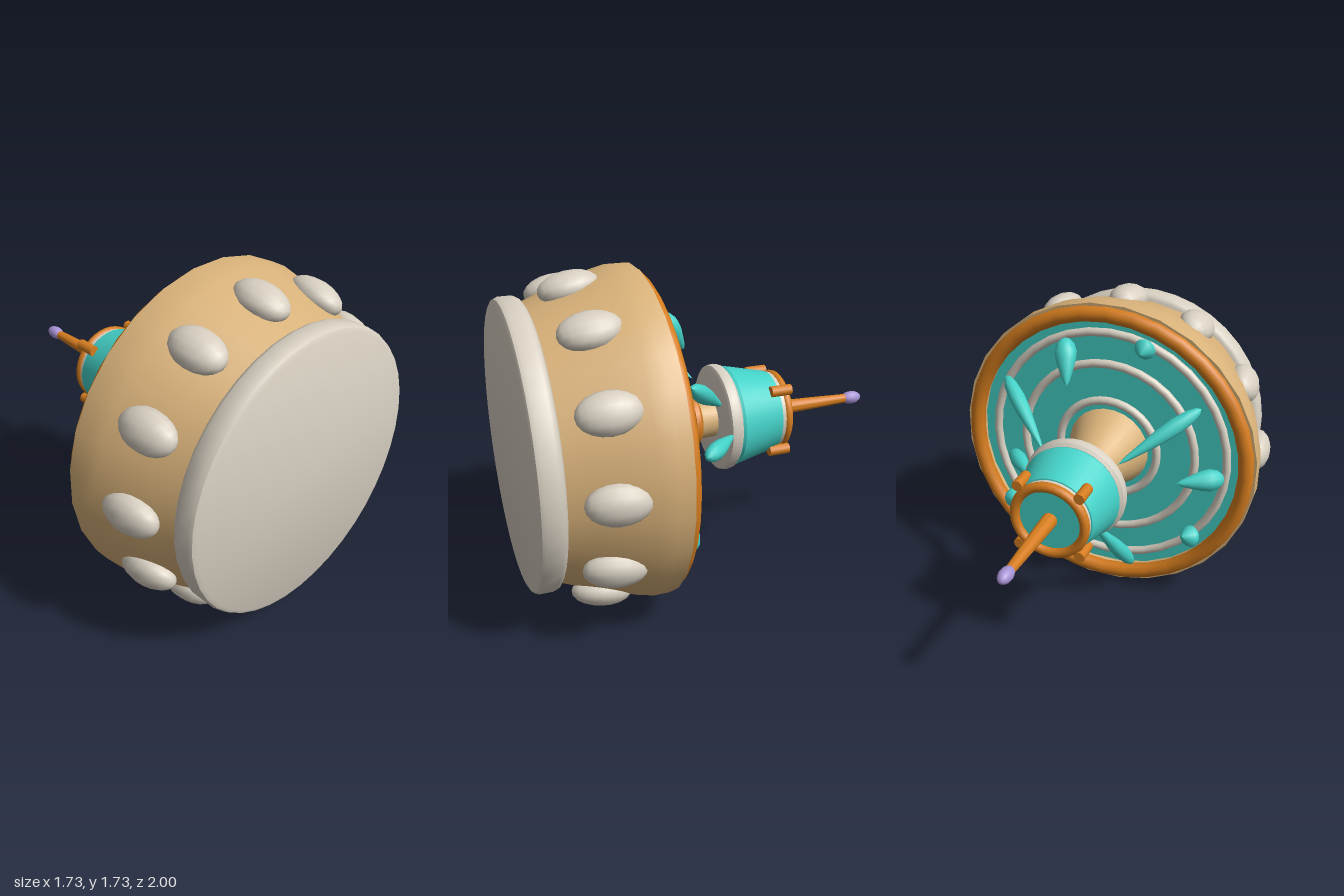
import * as THREE from 'three';
import { toCreasedNormals } from 'three/addons/utils/BufferGeometryUtils.js';

const mat = (name, color) => {
  const m = new THREE.MeshStandardMaterial({ color });
  m.name = name;
  return m;
};

export function createModel() {
  const sand = mat('sandstone', 0xd9b27a);
  const stone = mat('pale stone', 0xd8d0c2);
  const copper = mat('copper', 0xd67d1e);
  const water = mat('water', 0x44d2c8);
  const violet = mat('violet', 0xa894d6);

  const model = new THREE.Group();
  model.name = 'fountain';
  // The fountain is built upright along y, then tipped so its top points to -z.
  const body = new THREE.Group();
  body.name = 'fountainBody';
  body.rotation.x = -Math.PI / 2;
  body.position.y = 0.87;
  model.add(body);

  const add = (name, geo, material, parent = body) => {
    const m = new THREE.Mesh(geo, material);
    m.name = name;
    parent.add(m);
    return m;
  };
  // Turned part from [radius, height] pairs listed bottom to top
  const turned = (name, pts, material, sides = 28) => {
    const geo = new THREE.LatheGeometry(pts.map(p => new THREE.Vector2(...p)), sides);
    geo.rotateY(Math.PI / sides);
    return add(name, toCreasedNormals(geo, 0.6), material);
  };
  const ring = (name, radius, tube, h, material) => {
    const geo = new THREE.TorusGeometry(radius, tube, 10, 36);
    geo.rotateX(Math.PI / 2);
    geo.translate(0, h, 0);
    return add(name, geo, material);
  };

  // Foot plate and basin
  turned('footPlate', [[0, -1], [0.715, -1], [0.735, -0.99], [0.745, -0.97], [0.745, -0.9],
    [0.735, -0.88], [0.715, -0.868], [0, -0.868]], stone, 40);
  turned('basin', [[0, -0.87], [0.705, -0.87], [0.755, -0.74], [0.805, -0.6], [0.845, -0.48],
    [0.863, -0.4], [0.863, -0.32], [0.78, -0.32], [0.77, -0.4]], sand);
  ring('basinRim', 0.805, 0.043, -0.32, copper);
  add('drainSpout', new THREE.BoxGeometry(0.12, 0.05, 0.05), copper).position.set(0, -0.81, -0.735);

  // Water surface with ripples
  const pool = new THREE.CircleGeometry(0.785, 40);
  pool.rotateX(-Math.PI / 2);
  add('poolWater', pool, water).position.y = -0.37;
  [0.29, 0.51, 0.69].forEach(r => ring('ripple', r, 0.024, -0.362, stone));

  // Cabochons around the basin
  for (let i = 0; i < 12; i++) {
    const arm = new THREE.Group();
    arm.name = 'cabochonMount';
    arm.rotation.y = (i * Math.PI) / 6;
    body.add(arm);
    const gem = add('cabochon', new THREE.SphereGeometry(1, 14, 10), stone, arm);
    gem.scale.set(0.103, 0.153, 0.078);
    gem.position.set(0, -0.655, 0.786);
    gem.rotation.x = 0.16;
  }

  // Pedestal and collar
  turned('pedestal', [[0.24, -0.38], [0.205, -0.28], [0.165, -0.18], [0.125, -0.08],
    [0.105, 0], [0.1, 0.12]], sand, 24);
  turned('collar', [[0.09, -0.065], [0.125, -0.06], [0.145, -0.045], [0.145, -0.02],
    [0.115, 0], [0.09, 0]], copper, 24);

  // Upper bowl
  turned('bowlLip', [[0, 0.09], [0.265, 0.09], [0.282, 0.1], [0.287, 0.125], [0.282, 0.15],
    [0.265, 0.165], [0, 0.165]], stone, 32);
  turned('bowlWater', [[0.262, 0.16], [0.27, 0.18], [0.215, 0.415], [0.19, 0.42]], water, 32);
  turned('bowlBand', [[0.18, 0.41], [0.208, 0.41], [0.208, 0.44], [0.18, 0.44]], stone, 32);
  ring('bowlCrown', 0.19, 0.026, 0.455, copper);
  turned('bowlCap', [[0.19, 0.42], [0.19, 0.45], [0, 0.45]], water, 32);
  for (const x of [-1, 1]) for (const z of [-1, 1]) {
    add('crownPeg', new THREE.CylinderGeometry(0.029, 0.029, 0.115, 12), copper)
      .position.set(x * 0.165, 0.415, z * 0.17);
  }

  // Spire
  turned('spire', [[0.041, 0.43], [0.04, 0.5], [0.034, 0.68], [0.025, 0.9], [0, 0.9]], copper, 16);
  const tip = add('spireTip', new THREE.SphereGeometry(1, 14, 10), violet);
  tip.scale.set(0.036, 0.06, 0.036);
  tip.position.y = 0.94;

  // Water drops: [angle in 36 degree steps, fat radius, fat height, tip radius, tip height, thickness]
  const dropProfile = [[0, 0], [0.45, 0.04], [0.8, 0.13], [1, 0.3], [0.9, 0.48], [0.6, 0.7],
    [0.3, 0.9], [0, 1]].map(p => new THREE.Vector2(...p));
  const long = [0.69, -0.23, 0.26, 0.06, 0.045];
  const short = [0.7, -0.27, 0.48, -0.12, 0.06];
  const bead = [0.69, -0.27, 0.63, -0.18, 0.062];
  const drops = [
    [0, 0.48, -0.12, 0.26, 0.11, 0.046],
    [1, ...long], [4, ...long], [7, ...long],
    [2, ...short], [5, ...short], [8, ...short],
    [3, 0.68, -0.36, 0.66, -0.27, 0.06], [6, ...bead], [9, ...bead],
  ];
  const up = new THREE.Vector3(0, 1, 0);
  for (const [k, r0, h0, r1, h1, thick] of drops) {
    const a = (k * Math.PI) / 5;
    const at = (r, h) => new THREE.Vector3(r * Math.cos(a), h, r * Math.sin(a));
    const from = at(r0, h0);
    const dir = at(r1, h1).sub(from);
    const drop = add('waterDrop', new THREE.LatheGeometry(dropProfile, 12), water);
    drop.scale.set(thick, dir.length(), thick);
    drop.position.copy(from);
    drop.quaternion.setFromUnitVectors(up, dir.normalize());
  }
  return model;
}
